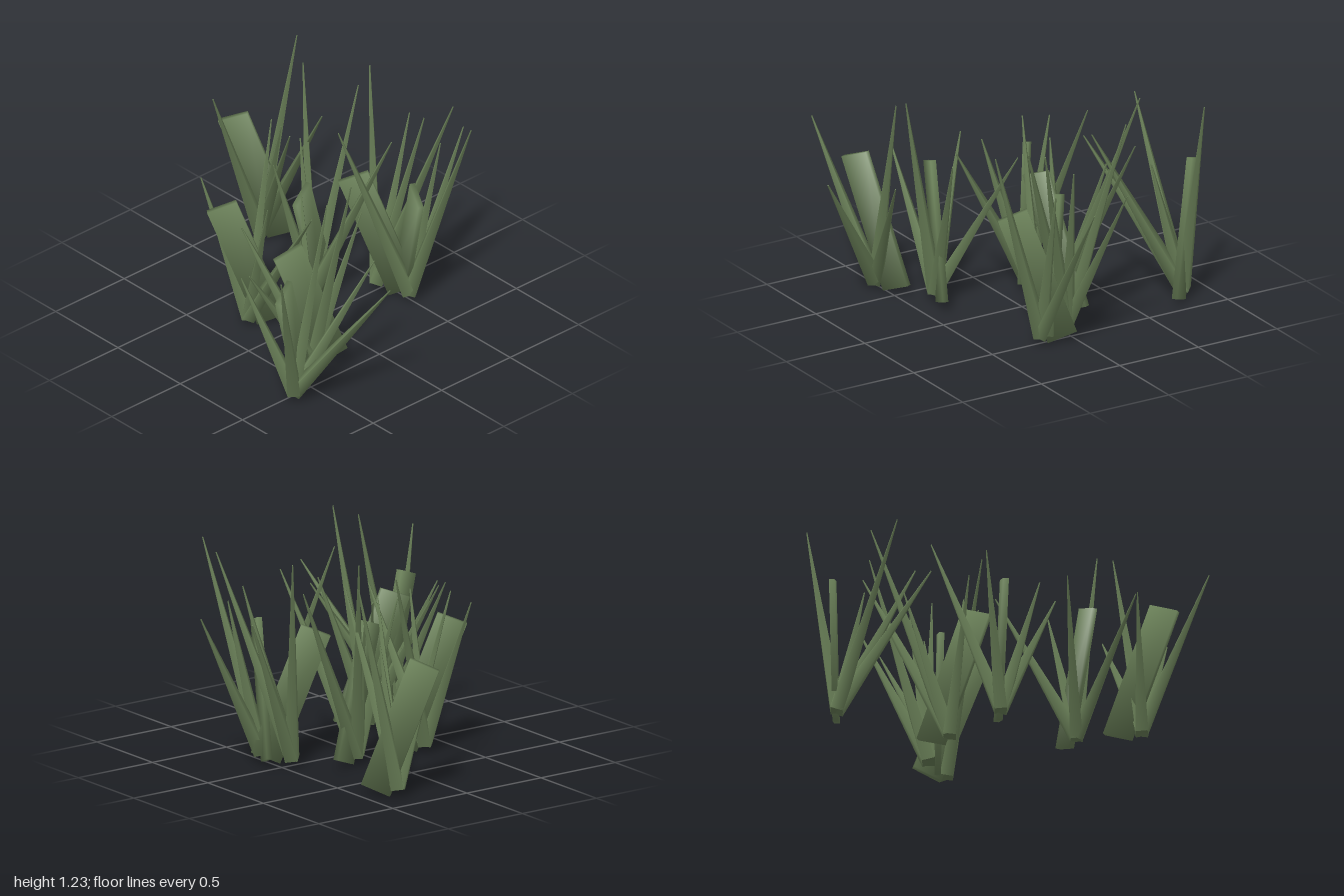
import * as THREE from 'three';

// Each tuft: base [x, z], blade tips [x, y, z], and the plan ends [x, z] of its broad leaf (high end, low end)
const TUFTS = [
  { base: [-0.82, -0.33], leaf: [[-0.99, -0.2], [-0.69, -0.46]],
    tips: [[-0.8, 1.19, -0.58], [-0.76, 1.07, 0.07], [-0.33, 0.96, -0.1], [-0.27, 1.04, -0.28], [-0.63, 0.8, -0.31]] },
  { base: [-0.17, -0.12], leaf: [[-0.08, 0.08], [-0.22, -0.29]],
    tips: [[-0.34, 1.07, -0.61], [-0.52, 1.23, -0.37], [-0.24, 0.9, 0.1], [-0.4, 0.86, -0.24], [0.19, 1.05, -0.37]] },
  { base: [-0.01, -0.44], leaf: [[-0.09, -0.26], [0.17, -0.56]],
    tips: [[-0.16, 0.89, -0.82], [-0.27, 1.22, -0.63], [0.1, 1.03, -0.69], [0.3, 1.18, -0.72]] },
  { base: [0.19, -0.5], leaf: [[0.39, -0.4], [0.02, -0.57]],
    tips: [[0.13, 0.88, -0.95], [0.555, 1.19, -0.62], [0.06, 1.16, -0.1], [0.22, 0.92, -0.7]] },
  { base: [-0.21, 0.31], leaf: [[-0.34, 0.48], [-0.09, 0.16]],
    tips: [[-0.4, 1.07, -0.03], [-0.45, 0.87, 0.44], [0.02, 0.85, 0.38], [0.25, 0.85, 0.27]] },
  { base: [0.34, 0.34], leaf: [[0.27, 0.54], [0.39, 0.16]],
    tips: [[0.335, 0.75, 0.8], [0.03, 0.83, 0.58], [-0.03, 0.83, 0.09], [0.41, 0.88, 0.05], [0.57, 1.21, 0.27]] },
  { base: [0.53, 0.65], leaf: [[0.61, 0.84], [0.44, 0.46]],
    tips: [[1.0, 0.79, 0.375], [0.75, 0.95, 0.945], [0.31, 0.74, 0.835], [0.68, 0.76, 0.2], [0.54, 1.14, 0.42]] },
];

const UP = new THREE.Vector3(0, 1, 0);
const LEAN = 0.36;

// Slim four-sided spike with a slightly blunt end, from the tuft base to its tip
function makeBlade(base, tip, material) {
  const from = new THREE.Vector3(base[0], 0.045, base[1]);
  const dir = new THREE.Vector3(...tip).sub(from);
  const length = dir.length();
  const geometry = new THREE.CylinderGeometry(0.004, 0.05, length, 4).translate(0, length / 2, 0);
  const blade = new THREE.Mesh(geometry, material);
  blade.name = 'blade';
  blade.position.copy(from);
  blade.quaternion.setFromUnitVectors(UP, dir.normalize());
  return blade;
}

// Broad plank-like leaf with softened corner normals, leaning toward its high end
function makeLeaf([high, low], material) {
  const geometry = new THREE.BoxGeometry(0.17, 0.77, 0.03);
  const p = geometry.attributes.position;
  const n = new THREE.Vector3();
  for (let i = 0; i < p.count; i++) {
    n.set(Math.sign(p.getX(i)), Math.sign(p.getY(i)), Math.sign(p.getZ(i))).normalize();
    geometry.attributes.normal.setXYZ(i, n.x, n.y, n.z);
  }
  geometry.rotateZ(-LEAN);
  const leaf = new THREE.Mesh(geometry, material);
  leaf.name = 'broadLeaf';
  leaf.position.set((high[0] + low[0]) / 2, 0.39, (high[1] + low[1]) / 2);
  leaf.rotation.y = -Math.atan2(high[1] - low[1], high[0] - low[0]);
  return leaf;
}

export function createModel() {
  const green = new THREE.MeshStandardMaterial({ color: 0x6a8058 });
  green.name = 'grassGreen';
  const model = new THREE.Group();
  model.name = 'grassPatch';
  for (const { base, leaf, tips } of TUFTS) {
    const tuft = new THREE.Group();
    tuft.name = 'grassTuft';
    tuft.add(makeLeaf(leaf, green));
    for (const tip of tips) tuft.add(makeBlade(base, tip, green));
    model.add(tuft);
  }
  return model;
}
